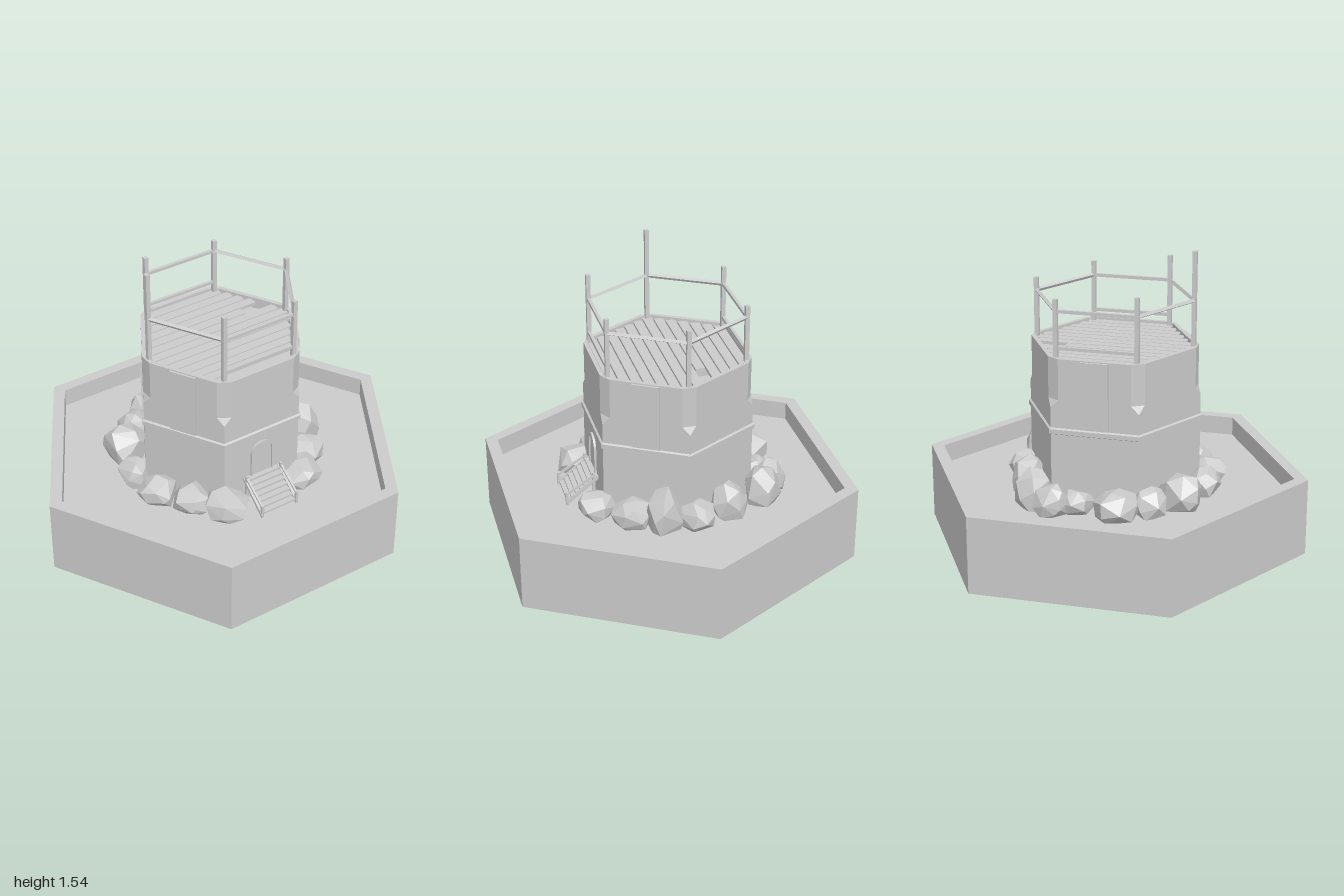
import * as THREE from 'three';
import { ConvexGeometry } from 'three/addons/geometries/ConvexGeometry.js';

const material = new THREE.MeshStandardMaterial({ color: 0xcccccc, flatShading: true });
const UP = new THREE.Vector3(0, 1, 0);

function add(parent, name, geometry, x = 0, y = 0, z = 0) {
  const mesh = new THREE.Mesh(geometry, material);
  mesh.name = name;
  mesh.position.set(x, y, z);
  parent.add(mesh);
  return mesh;
}

// Square bar between two points
function bar(parent, name, a, b, size) {
  const p = new THREE.Vector3(...a), q = new THREE.Vector3(...b);
  const mesh = add(parent, name, new THREE.BoxGeometry(size, p.distanceTo(q), size));
  mesh.position.copy(p).add(q).multiplyScalar(0.5);
  mesh.quaternion.setFromUnitVectors(UP, q.sub(p).normalize());
  return mesh;
}

const hexCorner = (k, r, y = 0) => [r * Math.cos(k * Math.PI / 3), y, r * Math.sin(k * Math.PI / 3)];

// Hexagonal solid through levels [y, radius, corner cut], closed at both ends
function hexLoft(levels) {
  const loops = levels.map(([y, r, cut = 0]) => {
    const loop = [];
    for (let k = 0; k < 6; k++) {
      const c = new THREE.Vector3(...hexCorner(k, r, y));
      for (const step of [-1, 1]) {
        const next = new THREE.Vector3(...hexCorner(k + step, r, y));
        loop.push(c.clone().lerp(next, cut / r));
      }
    }
    return loop;
  });
  const points = [];
  for (let i = 0; i < 12; i++) {
    const j = (i + 1) % 12;
    for (let l = 0; l < loops.length - 1; l++) {
      const a = loops[l][i], b = loops[l][j], c = loops[l + 1][j], d = loops[l + 1][i];
      points.push(a, d, c, a, c, b);
    }
    const first = loops[0], last = loops[loops.length - 1];
    points.push(new THREE.Vector3(0, first[0].y, 0), first[i], first[j]);
    points.push(new THREE.Vector3(0, last[0].y, 0), last[j], last[i]);
  }
  const geometry = new THREE.BufferGeometry().setFromPoints(points);
  geometry.computeVertexNormals();
  return geometry;
}

// Arched outline standing on y = 0
function arch(Type, w, h) {
  const path = new Type();
  path.moveTo(-w, 0);
  path.lineTo(w, 0);
  path.lineTo(w, h - w);
  path.absarc(0, h - w, w, 0, Math.PI, false);
  path.lineTo(-w, 0);
  return path;
}

function seeded(seed) {
  return () => (seed = (seed * 16807) % 2147483647) / 2147483647;
}

// Faceted boulder, its underside flattened on the floor
function rockGeometry(rx, ry, rz, drop, random) {
  const points = [];
  const n = 22;
  for (let i = 0; i < n; i++) {
    const h = 1 - 2 * (i + 0.5) / n, ring = Math.sqrt(1 - h * h);
    const a = i * 2.4 + random() * 0.9, s = 0.9 + random() * 0.18;
    points.push(new THREE.Vector3(
      rx * s * ring * Math.cos(a), Math.max(-drop, ry * s * h), rz * s * ring * Math.sin(a)));
  }
  return new ConvexGeometry(points);
}

export function createModel() {
  const model = new THREE.Group();
  model.name = 'hexagonalWatchtower';
  const floor = 0.3;

  // Ground tray with a raised rim
  add(model, 'baseTray', hexLoft([[0, 1], [0.4, 1], [0.4, 0.93], [floor, 0.93]]));

  // Tower body: chamfered upper corners and a recessed top
  add(model, 'towerWalls', hexLoft([
    [floor, 0.445], [0.69, 0.445], [0.81, 0.445], [0.85, 0.445, 0.04],
    [1.06, 0.445, 0.04], [1.06, 0.42, 0.03], [1.0, 0.42, 0.03],
  ]));
  add(model, 'stringCourse', hexLoft([
    [0.672, 0.445], [0.677, 0.456], [0.7, 0.456], [0.706, 0.445],
  ]));

  // Raised panels on alternate upper faces
  for (const angle of [Math.PI / 3, -Math.PI / 3, Math.PI]) {
    const holder = new THREE.Group();
    holder.name = 'wallPanel';
    holder.rotation.y = angle;
    add(holder, 'panel', new THREE.BoxGeometry(0.14, 0.345, 0.024), 0, 0.882, 0.385);
    model.add(holder);
  }

  // Plank deck, one plank broken short
  const deck = new THREE.Group();
  deck.name = 'deck';
  model.add(deck);
  for (let i = 0; i < 13; i++) {
    const z = (i - 6) * 0.0555;
    const half = 0.415 - Math.abs(z) / Math.sqrt(3);
    const right = i === 4 ? 0.22 : half;
    add(deck, 'plank', new THREE.BoxGeometry(half + right, 0.016, 0.049), (right - half) / 2, 1.04, z);
  }
  for (const x of [-0.2, 0.2]) {
    add(deck, 'joist', new THREE.BoxGeometry(0.02, 0.034, 0.71), x, 1.015, 0);
  }

  // Railing posts of uneven height with their rails
  const railing = new THREE.Group();
  railing.name = 'railing';
  model.add(railing);
  const radius = 0.405;
  [1.355, 1.365, 1.42, 1.54, 1.385, 1.35].forEach((top, k) => {
    const [x, , z] = hexCorner(k, radius);
    add(railing, 'post', new THREE.BoxGeometry(0.022, top - 1.0, 0.022), x, (top + 1.0) / 2, z);
    bar(railing, 'topRail', hexCorner(k, radius, 1.29), hexCorner(k + 1, radius, 1.29), 0.016);
    if (k === 1 || k === 4) {
      bar(railing, 'lowerRail', hexCorner(k, radius, 1.105), hexCorner(k + 1, radius, 1.105), 0.016);
    }
  });

  // Arched door with a thin frame
  const frame = arch(THREE.Shape, 0.066, 0.205);
  frame.holes.push(arch(THREE.Path, 0.057, 0.196));
  const extrude = (shape, depth) =>
    new THREE.ExtrudeGeometry(shape, { depth, bevelEnabled: false, curveSegments: 10 });
  add(model, 'doorFrame', extrude(frame, 0.02), 0, 0.43, 0.377);
  add(model, 'door', extrude(arch(THREE.Shape, 0.06, 0.2), 0.012), 0, 0.43, 0.377);

  // Entrance stairs
  const stairs = new THREE.Group();
  stairs.name = 'stairs';
  model.add(stairs);
  for (let i = 0; i < 7; i++) {
    const t = i / 6;
    add(stairs, 'step', new THREE.BoxGeometry(0.2, 0.01, 0.03), 0, 0.32 + 0.115 * t, 0.535 - 0.135 * t);
  }
  for (const x of [-0.104, 0.104]) {
    bar(stairs, 'stringer', [x, 0.312, 0.552], [x, 0.44, 0.39], 0.016);
    bar(stairs, 'handrail', [x, 0.36, 0.552], [x, 0.455, 0.405], 0.01);
    bar(stairs, 'stairPost', [x, floor, 0.55], [x, 0.37, 0.55], 0.013);
    bar(stairs, 'stairPost', [x, floor, 0.41], [x, 0.465, 0.41], 0.013);
  }

  // Boulders around the foot: x, z, radius, top height
  const rocks = new THREE.Group();
  rocks.name = 'rocks';
  model.add(rocks);
  const random = seeded(77);
  [
    [-0.13, -0.47, 0.12, 0.45], [0.07, -0.45, 0.09, 0.42], [0.19, -0.49, 0.095, 0.46],
    [0.3, -0.42, 0.1, 0.51], [0.39, -0.22, 0.1, 0.48], [0.45, -0.04, 0.1, 0.44],
    [0.43, 0.13, 0.1, 0.52], [0.35, 0.27, 0.11, 0.44], [0.22, 0.42, 0.11, 0.43],
    [-0.23, 0.42, 0.12, 0.44], [-0.35, 0.29, 0.11, 0.43], [-0.46, 0.14, 0.11, 0.43],
    [-0.48, -0.05, 0.095, 0.45], [-0.41, -0.26, 0.12, 0.49], [-0.28, -0.39, 0.09, 0.45],
  ].forEach(([x, z, r, top]) => {
    const y = 0.35;
    const rock = add(rocks, 'rock', rockGeometry(r, top - y, r * 0.95, y - floor + 0.01, random), x, y, z);
    rock.rotation.y = random() * 6;
  });

  return model;
}
